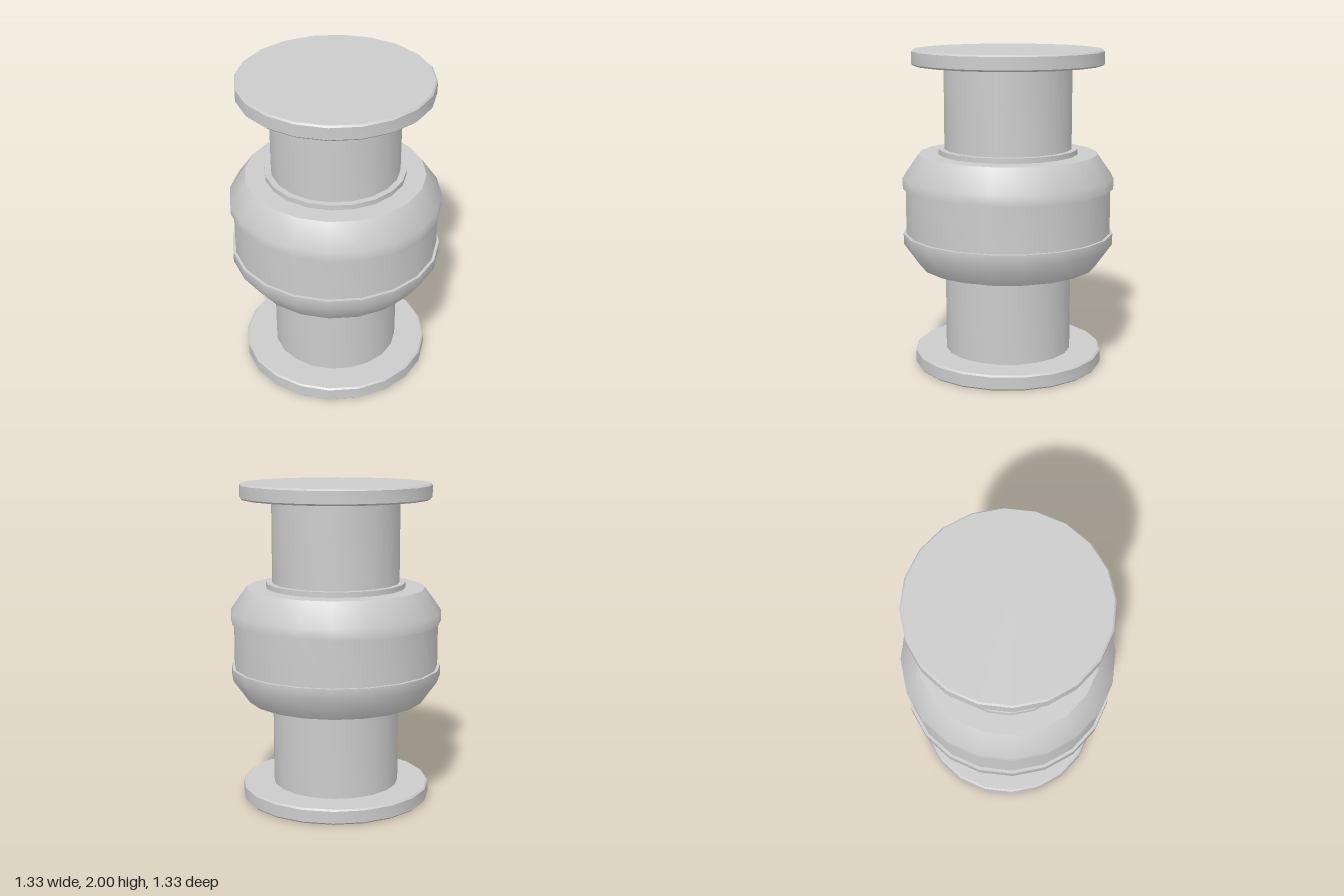
import * as THREE from 'three';
import { toCreasedNormals } from 'three/addons/utils/BufferGeometryUtils.js';

const SIDES = 20;
const material = new THREE.MeshStandardMaterial({ color: 0xcccccc });

// Closed turned part; profile is [radius, y] pairs running from bottom to top
function turned(name, profile) {
  const points = profile.map(([r, y]) => new THREE.Vector2(r, y));
  const geometry = toCreasedNormals(new THREE.LatheGeometry(points, SIDES), 0.7);
  const mesh = new THREE.Mesh(geometry, material);
  mesh.name = name;
  return mesh;
}

// Upper half, with y measured from the middle of the body
function createHalf(name) {
  const half = new THREE.Group();
  half.name = name;
  half.add(
    // sloped shoulder overhanging the central band
    turned('shoulder', [[0, 0.143], [0.663, 0.143], [0.663, 0.21], [0.56, 0.355], [0, 0.355]]),
    // thin ring where the neck meets the shoulder
    turned('collar', [[0, 0.34], [0.438, 0.34], [0.438, 0.387], [0, 0.387]]),
    turned('neck', [[0, 0.37], [0.4, 0.37], [0.4, 0.92], [0, 0.92]]),
    // end disc with small bevels
    turned('endFlange', [
      [0, 0.905], [0.587, 0.905], [0.597, 0.915], [0.597, 0.99], [0.587, 1], [0, 1],
    ]),
  );
  return half;
}

export function createModel() {
  const model = new THREE.Group();
  model.name = 'flangedCoupling';

  const band = turned('centralBand', [[0, -0.16], [0.645, -0.16], [0.645, 0.16], [0, 0.16]]);
  const upper = createHalf('upperHalf');
  const lower = createHalf('lowerHalf');
  lower.rotation.x = Math.PI;

  for (const part of [band, upper, lower]) {
    part.position.y = 1;
    model.add(part);
  }
  return model;
}
